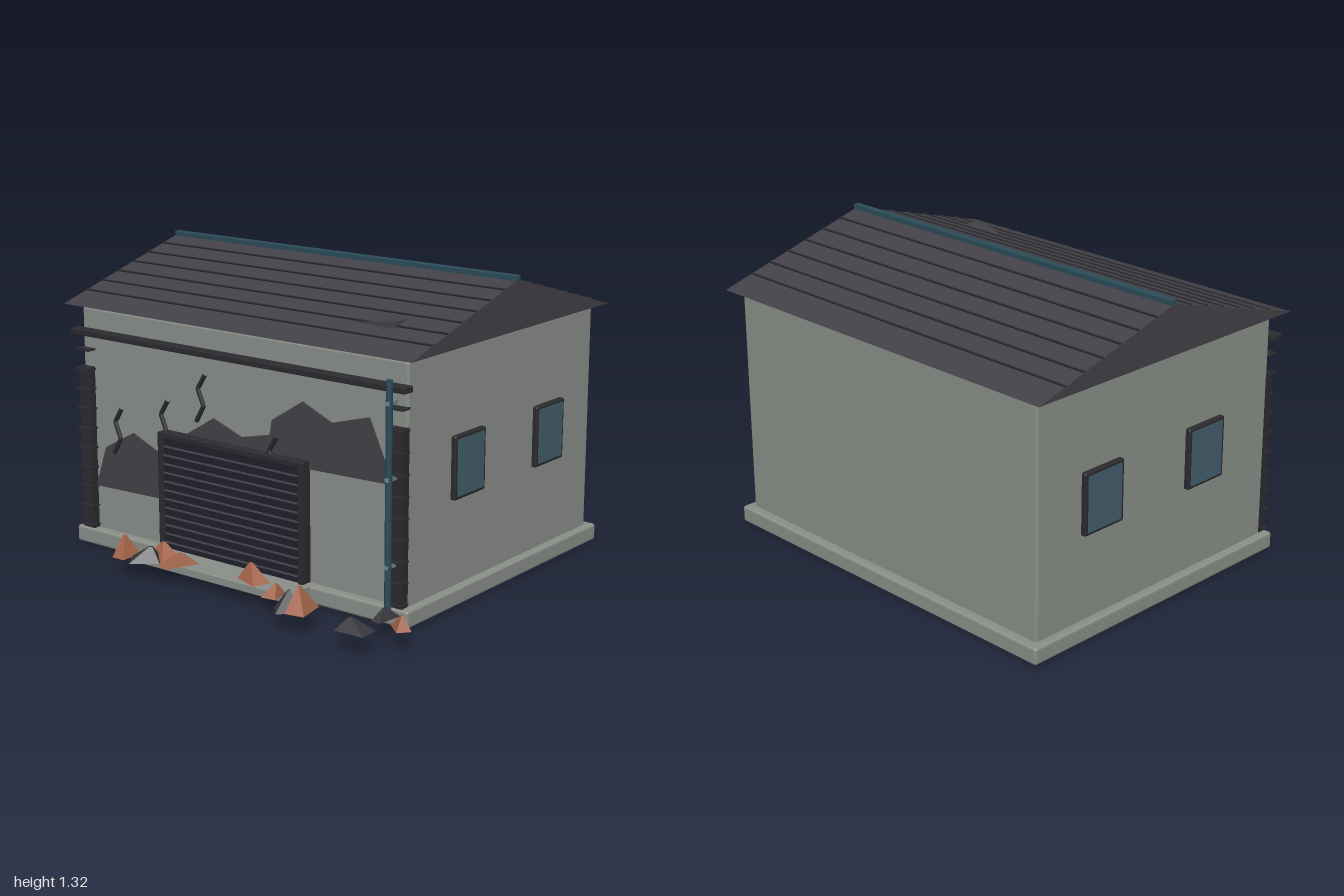
import * as THREE from 'three';
import { RoundedBoxGeometry } from 'three/addons/geometries/RoundedBoxGeometry.js';
import { ConvexGeometry } from 'three/addons/geometries/ConvexGeometry.js';

const mat = (name, color, flat = false) => {
  const m = new THREE.MeshStandardMaterial({ color, flatShading: flat });
  m.name = name;
  return m;
};

export function createModel() {
  const concrete = mat('concrete', 0x8a8f89);
  const roofGrey = mat('roof grey', 0x434147, true);
  const trim = mat('dark trim', 0x2b2b30);
  const shutterBlue = mat('shutter blue black', 0x20202a);
  const slatGrey = mat('slat grey', 0x474855);
  const glass = mat('window glass', 0x425e6b);
  const teal = mat('dark teal', 0x2b4c59);
  const steel = mat('bracket steel', 0x71868f);
  const brick = mat('brick', 0xa3644a, true);
  const rubbleGrey = mat('rubble grey', 0x37373d, true);

  const model = new THREE.Group();
  model.name = 'ruinedGarage';
  const add = (name, geo, material, parent = model) => {
    const m = new THREE.Mesh(geo, material);
    m.name = name;
    parent.add(m);
    return m;
  };
  // Box given by its minimum and maximum corners, optionally with softened edges
  const box = (name, a, b, material, r = 0) => {
    const s = b.map((v, i) => v - a[i]);
    const geo = r ? new RoundedBoxGeometry(...s, 2, r) : new THREE.BoxGeometry(...s);
    geo.translate(...a.map((v, i) => (v + b[i]) / 2));
    return add(name, geo, material);
  };

  // Foundation, walls and doorstep
  box('foundation', [-0.975, 0, -0.895], [0.855, 0.075, 0.56], concrete, 0.012);
  box('walls', [-0.94, 0.06, -0.855], [0.82, 1.075, 0.52], concrete, 0.012);
  box('doorstep', [-0.487, 0.04, 0.54], [0.364, 0.076, 0.705], concrete, 0.004);

  // Gabled roof
  const ridgeZ = -0.167, eave = 1.087, ridgeY = 1.3, half = 0.74;
  const gable = new THREE.Shape([
    new THREE.Vector2(ridgeZ - half, eave),
    new THREE.Vector2(ridgeZ + half, eave),
    new THREE.Vector2(ridgeZ, ridgeY),
  ]);
  const roofGeo = new THREE.ExtrudeGeometry(gable, { depth: 1.87, bevelEnabled: false });
  roofGeo.rotateY(-Math.PI / 2).translate(0.87, 0, 0);
  add('roof', roofGeo, roofGrey);
  box('ridgeCap', [-1, 1.292, ridgeZ - 0.015], [0.873, 1.318, ridgeZ + 0.015], teal, 0.003);

  // Roof seams on both slopes
  const pitch = Math.atan2(ridgeY - eave, half);
  for (const side of [-1, 1]) {
    for (let i = 1; i <= 6; i++) {
      const seam = add('roofSeam', new THREE.BoxGeometry(1.868, 0.01, 0.008), trim);
      seam.position.set(-0.065, ridgeY - 0.1 * i * Math.tan(pitch) + 0.001, ridgeZ + side * 0.1 * i);
      seam.rotation.x = side * pitch;
    }
  }

  // Lifted roof shard and a loose panel in the gap below the roof
  const shard = [[0.41, 1.151, 0.35], [0.63, 1.177, 0.26], [0.63, 1.177, 0.35],
    [0.41, 1.13, 0.35], [0.63, 1.14, 0.26], [0.63, 1.14, 0.35]];
  add('roofShard', new ConvexGeometry(shard.map(p => new THREE.Vector3(...p))), roofGrey);
  box('loosePanel', [-0.12, 1.07, -0.34], [0.16, 1.095, 0.35], trim);

  // Beam across the front
  box('frontBeam', [-0.965, 0.957, 0.515], [0.84, 0.983, 0.572], trim, 0.004);

  // Corner pillars with thin bands
  for (const x of [-0.907, 0.787]) {
    box('cornerPillar', [x - 0.033, 0.075, 0.51], [x + 0.033, 0.812, 0.552], trim);
    for (let i = 0; i < 10; i++) {
      const y = 0.09 + i * 0.089;
      box('pillarBand', [x - 0.04, y - 0.004, 0.515], [x + 0.04, y + 0.004, 0.566], trim);
    }
  }

  // Soot patch on the front wall
  const soot = [[-0.877, 0.27], [-0.46, 0.28], [0.33, 0.56], [0.754, 0.57], [0.636, 0.826],
    [0.449, 0.773], [0.3, 0.837], [0.139, 0.735], [0.128, 0.67], [-0.027, 0.634], [-0.18, 0.69],
    [-0.31, 0.61], [-0.508, 0.49], [-0.647, 0.548], [-0.813, 0.457]];
  const sootGeo = new THREE.ExtrudeGeometry(new THREE.Shape(soot.map(p => new THREE.Vector2(...p))),
    { depth: 0.007, bevelEnabled: false });
  add('sootPatch', sootGeo.translate(0, 0, 0.52), roofGrey);

  // Zigzag cracks
  const zigzag = [[0, 0], [-0.042, -0.067], [-0.011, -0.138], [-0.052, -0.21]];
  for (const [x, y] of [[-0.69, 0.657], [-0.417, 0.735], [-0.203, 0.88], [0.182, 0.675]]) {
    const path = new THREE.CurvePath();
    const pts = zigzag.map(([dx, dy]) => new THREE.Vector3(x + dx, y + dy, 0.547));
    for (let i = 0; i < 3; i++) path.add(new THREE.LineCurve3(pts[i], pts[i + 1]));
    add('crack', new THREE.TubeGeometry(path, 24, 0.01, 6), trim);
  }

  // Roller shutter with frame and slats
  const L = -0.46, R = 0.335, T = 0.596, B = 0.075, e = 0.026;
  box('shutterPanel', [L + 0.01, B, 0.515], [R - 0.01, T - 0.01, 0.557], shutterBlue);
  box('shutterFrameLeft', [L, B, 0.515], [L + e, T, 0.572], trim, 0.004);
  box('shutterFrameRight', [R - e, B, 0.515], [R, T, 0.572], trim, 0.004);
  box('shutterFrameTop', [L, T - e, 0.515], [R, T, 0.572], trim, 0.004);
  for (let i = 0; i < 12; i++) {
    const y = 0.1 + i * 0.039;
    box('shutterSlat', [L + e, y, 0.55], [R - e, y + 0.007, 0.562], slatGrey);
  }

  // Drainpipe with wall brackets
  const pipe = add('drainpipe', new THREE.CylinderGeometry(0.014, 0.014, 0.94, 12), teal);
  pipe.position.set(0.783, 0.542, 0.594);
  for (const y of [0.92, 0.614, 0.257]) {
    box('pipeBracket', [0.774, y - 0.008, 0.55], [0.792, y + 0.008, 0.61], steel);
  }

  // Two windows on each side wall
  for (const side of [-1, 1]) {
    const wallX = side > 0 ? 0.82 : -0.94;
    for (const z of [0.11, -0.5]) {
      const win = new THREE.Group();
      win.name = 'window';
      win.position.set(wallX, 0.581, z);
      add('windowFrame', new RoundedBoxGeometry(0.044, 0.268, 0.22, 2, 0.008), trim, win);
      const pane = add('windowPane', new THREE.BoxGeometry(0.006, 0.24, 0.19), glass, win);
      pane.position.x = side * 0.021;
      model.add(win);
    }
  }

  // Rubble: [x, z, width, depth, height, turn, material]
  const rubble = [
    [-0.495, 0.74, 0.065, 0.11, 0.09, 0, brick],
    [-0.39, 0.735, 0.13, 0.1, 0.06, 0.65, rubbleGrey],
    [-0.345, 0.655, 0.16, 0.1, 0.062, -0.45, brick],
    [-0.24, 0.69, 0.075, 0.16, 0.055, -0.4, brick],
    [0.14, 0.65, 0.13, 0.08, 0.072, -0.35, brick],
    [0.32, 0.74, 0.068, 0.085, 0.055, 0.15, brick],
    [0.515, 0.8, 0.085, 0.135, 0.098, 0.2, brick],
    [0.465, 0.842, 0.085, 0.08, 0.085, 0.75, rubbleGrey],
    [0.83, 0.67, 0.045, 0.12, 0.045, -0.13, rubbleGrey],
    [0.94, 0.72, 0.09, 0.06, 0.06, -0.7, brick],
    [0.815, 0.848, 0.135, 0.09, 0.05, 0.03, rubbleGrey],
  ];
  rubble.forEach(([x, z, w, d, h, turn, material], i) => {
    // Four-sided block rising to a small off-centre peak
    const geo = new THREE.CylinderGeometry(0.09, Math.SQRT1_2, 1, 4).rotateY(Math.PI / 4);
    const p = geo.attributes.position;
    for (let k = 0; k < p.count; k++) {
      if (p.getY(k) > 0) p.setX(k, p.getX(k) + (i % 2 ? 0.18 : -0.15));
    }
    geo.translate(0, 0.5, 0).scale(w, h, d);
    const chunk = add('rubbleChunk', geo, material);
    chunk.position.set(x, 0.076, z);
    chunk.rotation.y = turn;
  });

  return model;
}
